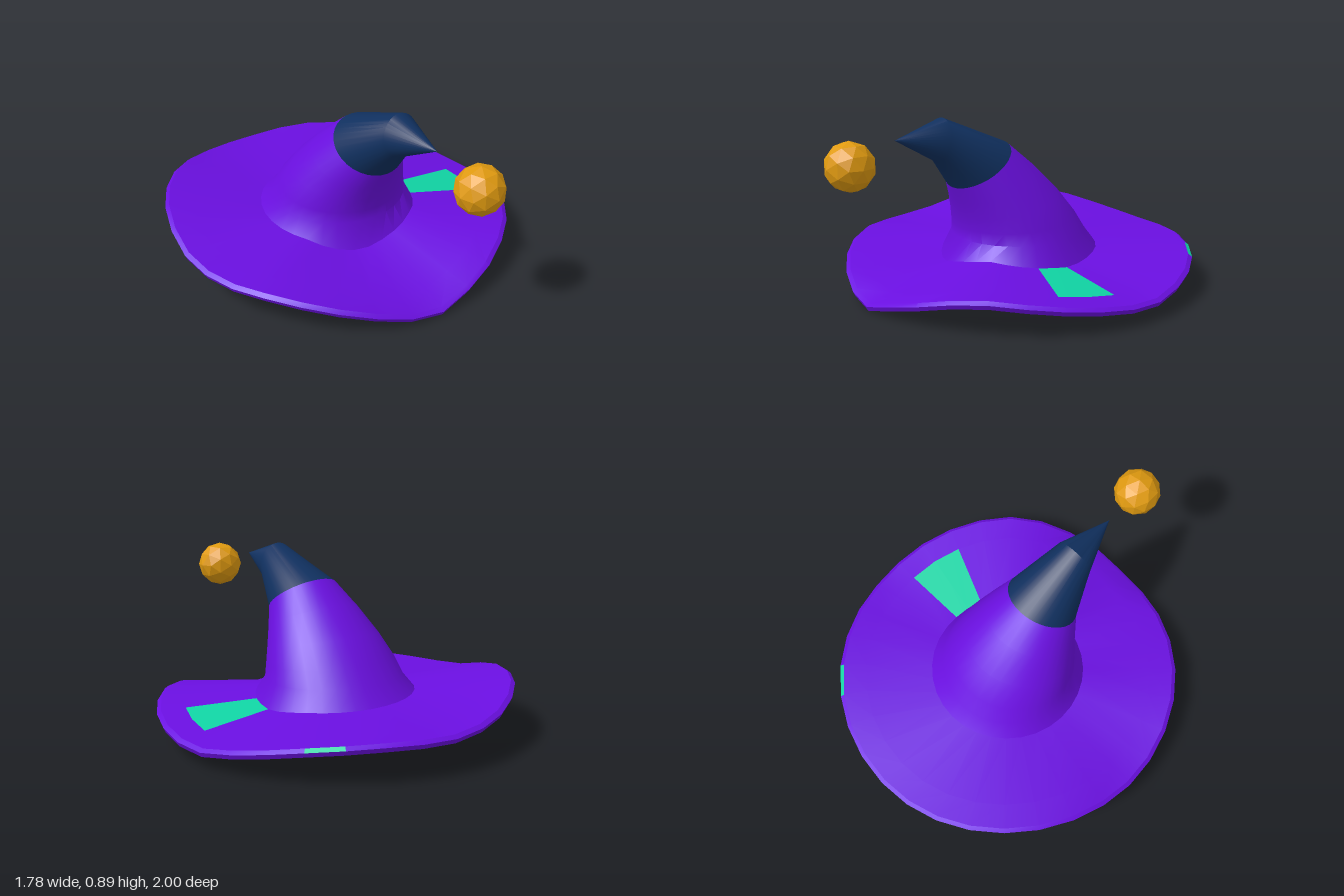
import * as THREE from 'three';
import { toCreasedNormals } from 'three/addons/utils/BufferGeometryUtils.js';

const SEG = 32, CZ = -0.11;
const angle = (j) => ((j % SEG) * 11.25 + 3) * Math.PI / 180;

// Height tables around the hat: [degrees from +x towards +z, y]
const RIM = [[0, .105], [20, .14], [40, .175], [53, .19], [65, .15], [80, .1], [93, .045], [105, .07],
  [120, .135], [135, .185], [150, .205], [165, .195], [180, .2], [193, .25], [205, .285], [215, .295],
  [227, .29], [240, .26], [255, .215], [270, .19], [300, .2], [318, .18], [335, .145], [350, .105], [360, .105]];
const BASE = [[0, .165], [30, .185], [60, .21], [85, .18], [110, .14], [130, .16], [150, .2],
  [180, .21], [225, .22], [270, .21], [330, .19], [360, .165]];

function heightAt(table, a) {
  const d = ((a * 180 / Math.PI) % 360 + 360) % 360;
  const i = table.findIndex((p, k) => k > 0 && p[0] >= d);
  const [d0, y0] = table[i - 1], [d1, y1] = table[i];
  return y0 + (y1 - y0) * (d - d0) / (d1 - d0);
}

// Ring of the brim at radius r
const brimRing = (r, yAt) => (j) => {
  const a = angle(j);
  return new THREE.Vector3(r * Math.cos(a), yAt(a), CZ + r * Math.sin(a));
};

// Tilted ring of the cone, from its back point, front point and half width
const coneRing = (bz, by, fz, fy, w) => (j) => {
  const a = angle(j), s = Math.sin(a) / 2;
  return new THREE.Vector3(w * Math.cos(a), (by + fy) / 2 + s * (fy - by), (bz + fz) / 2 + s * (fz - bz));
};

// Skin consecutive rings; keep(i, j) selects the quads
function loft(rings, crease, keep = () => true) {
  const out = [];
  const tri = (a, b, c) => {
    if (a.distanceTo(b) > 1e-6 && b.distanceTo(c) > 1e-6 && a.distanceTo(c) > 1e-6) {
      for (const p of [a, b, c]) out.push(p.x, p.y, p.z);
    }
  };
  for (let i = 0; i < rings.length - 1; i++) {
    for (let j = 0; j < SEG; j++) {
      if (!keep(i, j)) continue;
      const a = rings[i](j), b = rings[i](j + 1), c = rings[i + 1](j), d = rings[i + 1](j + 1);
      tri(a, c, b);
      tri(b, c, d);
    }
  }
  const g = new THREE.BufferGeometry();
  g.setAttribute('position', new THREE.Float32BufferAttribute(out, 3));
  return toCreasedNormals(g, crease);
}

export function createModel() {
  const hat = new THREE.Group();
  hat.name = 'pointedHat';
  const add = (name, geometry, color, flatShading = false) => {
    const mesh = new THREE.Mesh(geometry, new THREE.MeshStandardMaterial({ color, flatShading }));
    mesh.name = name;
    hat.add(mesh);
    return mesh;
  };
  const purple = 0x6a0fe0, green = 0x10d4a4, navy = 0x10305f, gold = 0xe09a10;

  // Wavy brim: closed underside, bevelled rim, top surface
  const rim = (a) => heightAt(RIM, a), base = (a) => heightAt(BASE, a);
  const brim = [
    brimRing(0, () => 0.08),
    brimRing(0.88, (a) => rim(a) - 0.037),
    brimRing(0.89, (a) => rim(a) - 0.015),
    brimRing(0.87, rim),
    brimRing(0.75, (a) => rim(a) + (base(a) - rim(a)) * 0.25),
    brimRing(0.4, base),
  ];
  // Two green patches: one on the brim's left side, one on the back left rim
  const isPatch = (i, j) => (i === 4 && j < 2) || (i === 2 && j === 27);
  add('brim', loft(brim, 0.5, (i, j) => !isPatch(i, j)), purple);
  add('brimPatches', loft(brim, 0.5, isPatch), green);

  // Cone bending forward
  const band = coneRing(0, 0.75, 0.3, 0.55, 0.185);
  add('cone', loft([
    brimRing(0.4, base),
    coneRing(-0.44, 0.29, 0.235, 0.275, 0.35),
    coneRing(-0.38, 0.38, 0.235, 0.33, 0.33),
    coneRing(-0.28, 0.5, 0.25, 0.4, 0.29),
    coneRing(-0.14, 0.635, 0.27, 0.47, 0.24),
    band,
  ], 0.6), purple);

  // Dark folded tip
  add('tip', loft([
    band,
    coneRing(0.36, 0.9, 0.4, 0.69, 0.1),
    () => new THREE.Vector3(0, 0.82, 0.63),
  ], 0.6), navy);

  // Faceted ball in front of the tip
  add('ball', new THREE.IcosahedronGeometry(0.118, 1), gold, true).position.set(0.025, 0.735, 0.882);

  return hat;
}
